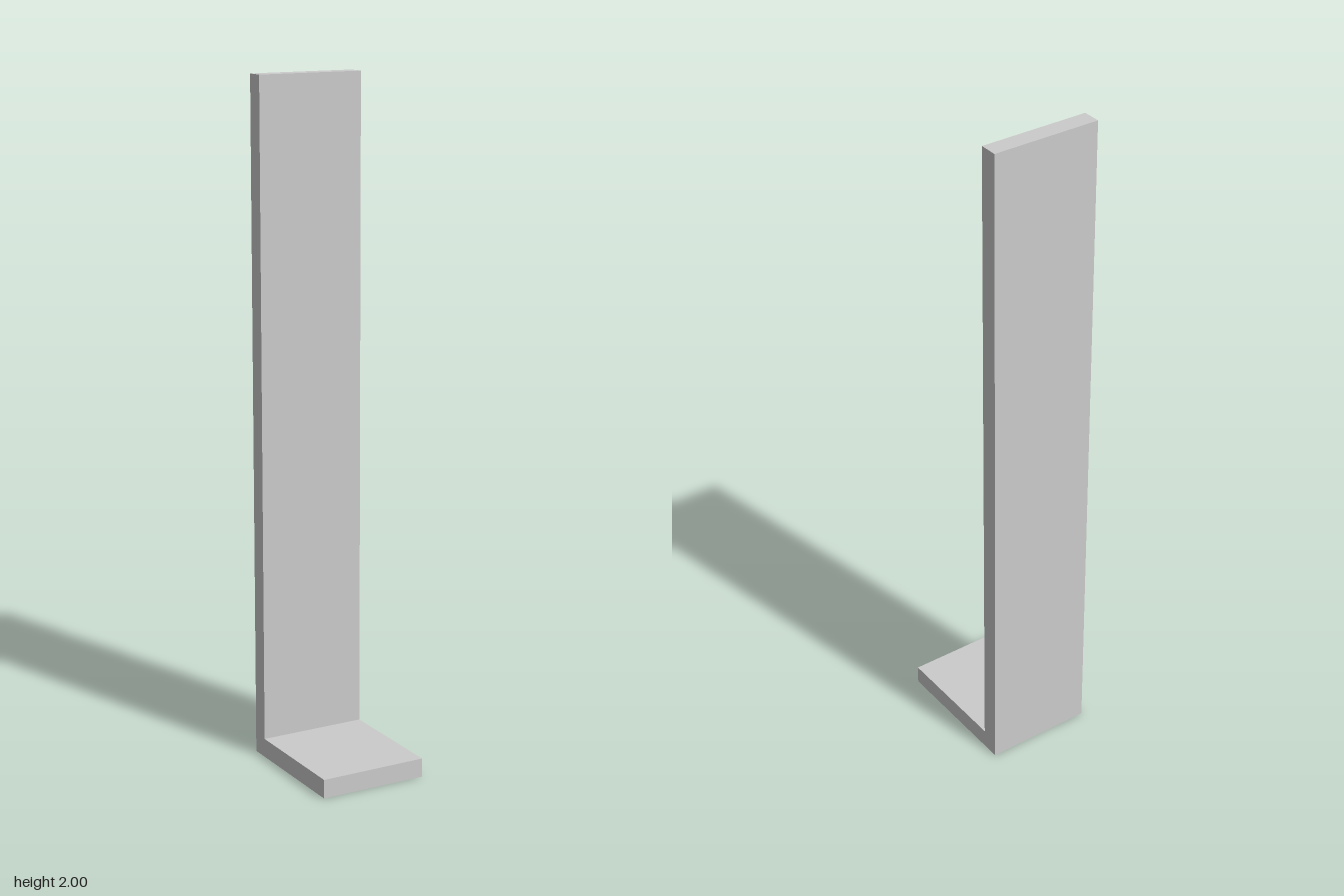
import * as THREE from 'three';

export function createModel() {
  const group = new THREE.Group();
  group.name = 'angleBracket';

  const width = 0.324, halfDepth = 0.207, height = 2;
  const wallFront = -0.153, footTop = 0.056;

  // L-shaped side profile: shape x is depth (z), shape y is height
  const profile = new THREE.Shape([
    [-halfDepth, 0], [halfDepth, 0], [halfDepth, footTop],
    [wallFront, footTop], [wallFront, height], [-halfDepth, height],
  ].map(([z, y]) => new THREE.Vector2(z, y)));

  // Extrude across the width, then turn so the foot points to the front
  const geometry = new THREE.ExtrudeGeometry(profile, { depth: width, bevelEnabled: false });
  geometry.translate(0, 0, -width / 2);
  geometry.rotateY(-Math.PI / 2);

  const bracket = new THREE.Mesh(
    geometry,
    new THREE.MeshStandardMaterial({ color: 0xcccccc, flatShading: true }),
  );
  bracket.name = 'uprightAndFoot';
  group.add(bracket);
  return group;
}
